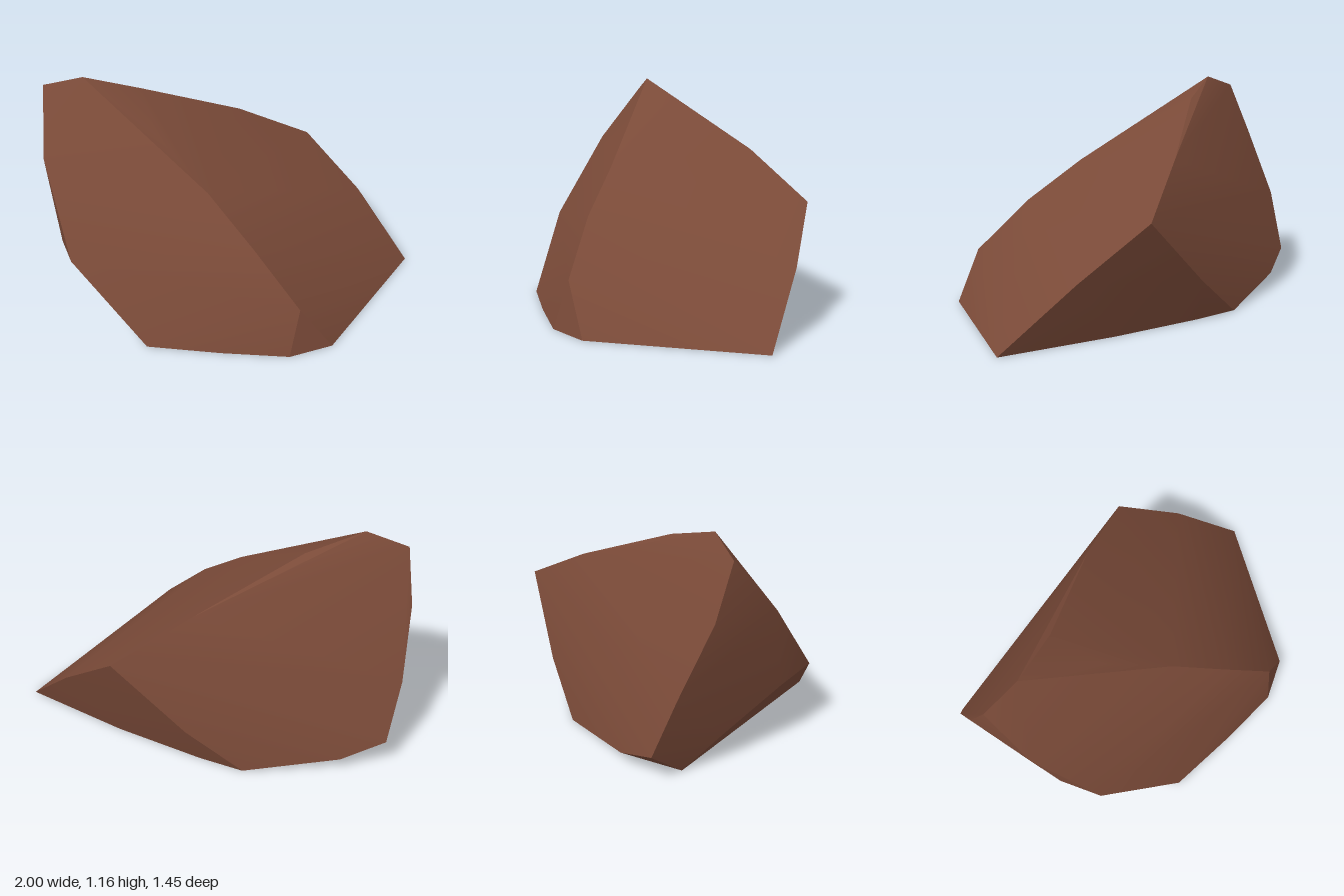
import * as THREE from 'three';
import { ConvexGeometry } from 'three/addons/geometries/ConvexGeometry.js';
import { toCreasedNormals } from 'three/addons/utils/BufferGeometryUtils.js';

export function createModel() {
  const group = new THREE.Group();
  group.name = 'rock';

  const brown = new THREE.MeshStandardMaterial({ color: 0x7a4a38 });
  brown.name = 'brown stone';

  // Corners of the boulder, grouped by the ridge they lie on
  const ridges = [
    // summit and front ridge, down to the front right foot
    [[-0.68, 1.16, 0.12], [-0.25, 0.93, 0.17], [0.08, 0.72, 0.285], [0.36, 0.51, 0.38], [0.64, 0.25, 0.45], [0.8, 0, 0.37]],
    // front left ridge
    [[-0.89, 1.1, 0.17], [-0.79, 0.8, 0.4], [-0.54, 0.37, 0.64], [-0.09, 0, 0.72]],
    // back ridge, down to the right tip
    [[-0.43, 1.06, -0.05], [-0.02, 0.81, -0.46], [0.31, 0.58, -0.73], [0.66, 0.32, -0.64], [1, 0, -0.5]],
    // left side
    [[-0.96, 0.83, 0.08], [-1, 0.48, -0.09], [-0.985, 0.17, -0.21], [-0.79, 0.08, -0.34]],
    // undercut at the front left
    [[-0.69, 0.34, 0.46], [-0.82, 0.16, 0.15], [-0.86, 0, -0.05]],
    // undercut at the back and the foot
    [[-0.06, 0.225, -0.65], [-0.34, 0, -0.56], [-0.1, 0, -0.572], [0.4, 0, -0.56], [0.28, 0, 0.63], [0.62, 0, 0.53]],
  ];
  const corners = ridges.flat().map((p) => new THREE.Vector3(...p));

  // Softly rounded faces with sharp edges between them
  const geometry = toCreasedNormals(new ConvexGeometry(corners), 0.42);
  const boulder = new THREE.Mesh(geometry, brown);
  boulder.name = 'boulder';
  group.add(boulder);
  return group;
}
